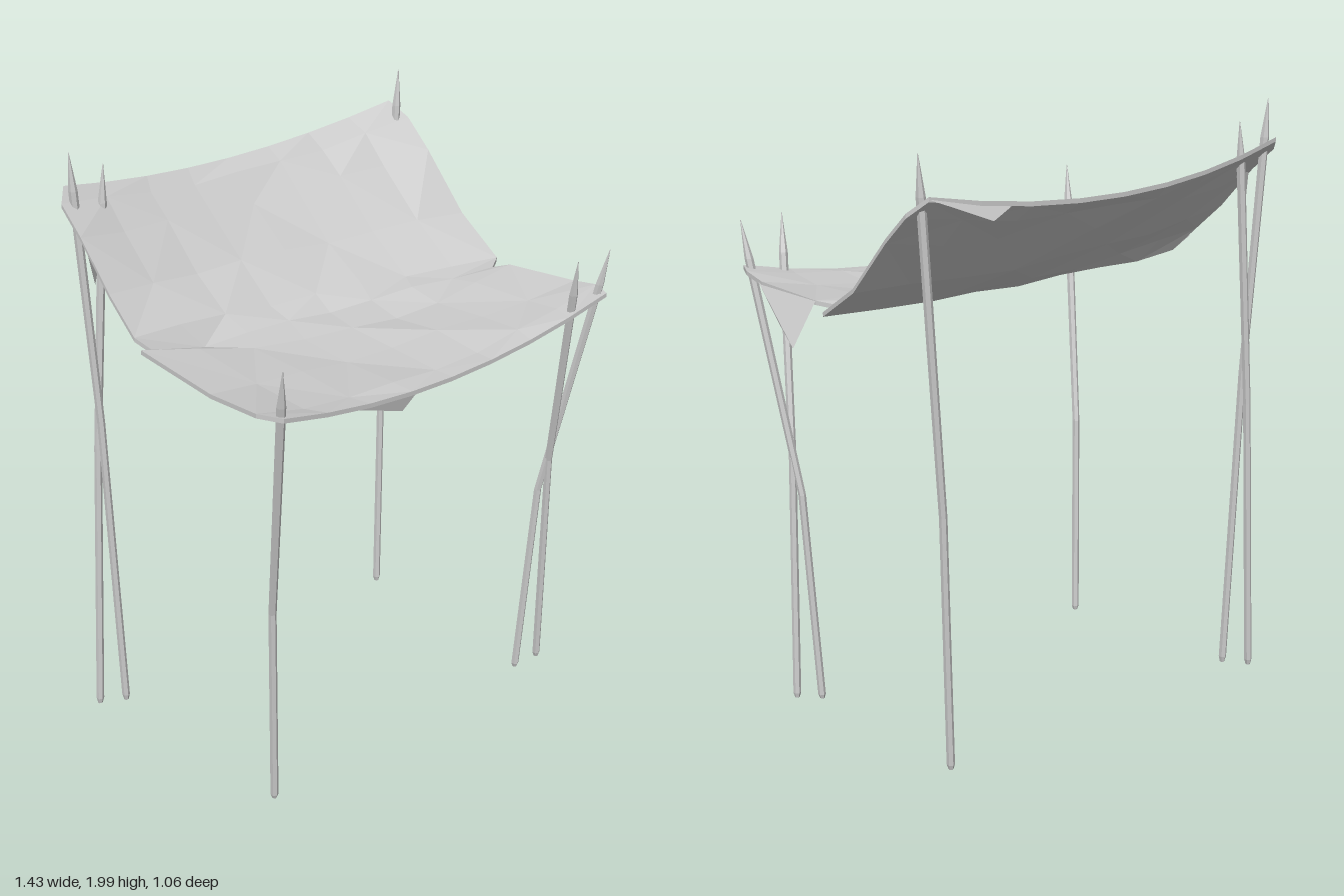
import * as THREE from 'three';

const material = new THREE.MeshStandardMaterial({ color: 0xcccccc, flatShading: true, side: THREE.DoubleSide });

function meshFrom(name, positions, indices) {
  const g = new THREE.BufferGeometry();
  g.setAttribute('position', new THREE.Float32BufferAttribute(positions, 3));
  g.setIndex(indices);
  g.computeVertexNormals();
  const mesh = new THREE.Mesh(g, material);
  mesh.name = name;
  return mesh;
}

// Cloth cross-sections, front to back: xLow, xHigh, then z and y at low edge, centre, high edge
const ROWS = [
  [-0.68, 0.645, 0.52, 0.505, 0.52, 1.475, 1.388, 1.475],
  [-0.72, 0.675, 0.45, 0.44, 0.45, 1.478, 1.392, 1.475],
  [-0.72, 0.675, 0.25, 0.25, 0.36, 1.465, 1.4, 1.46],
  [-0.72, 0.64, -0.075, 0.09, 0.11, 1.49, 1.41, 1.45],
  [-0.65, 0.6, -0.07, -0.03, 0.07, 1.45, 1.43, 1.44],   // crease between the two tears
  [-0.72, 0.672, -0.105, -0.1, 0.02, 1.52, 1.465, 1.44],
  [-0.72, 0.675, -0.22, -0.25, -0.15, 1.62, 1.565, 1.55],
  [-0.72, 0.675, -0.35, -0.4, -0.32, 1.76, 1.69, 1.73],
  [-0.72, 0.675, -0.44, -0.48, -0.42, 1.84, 1.765, 1.82],
  [-0.68, 0.64, -0.485, -0.53, -0.48, 1.875, 1.803, 1.872],
];
const COLS = 9, THICK = 0.014;

// Parabola through low edge (t=-1), centre (0) and high edge (1)
const bend = (lo, mid, hi, t) => mid + (hi - lo) / 2 * t + ((hi + lo) / 2 - mid) * t * t;

function makeCloth() {
  const pos = [], idx = [], count = ROWS.length * COLS;
  for (const drop of [0, THICK]) {
    ROWS.forEach(([x0, x1, za, zb, zc, ya, yb, yc], r) => {
      for (let c = 0; c < COLS; c++) {
        const t = (c / (COLS - 1)) * 2 - 1;
        const inner = r > 0 && r < ROWS.length - 1 && Math.abs(t) < 1;
        const wrinkle = inner ? 0.007 * Math.sin(r * 2.3 + c * 1.9) : 0;
        pos.push(x0 + (x1 - x0) * (t + 1) / 2, bend(ya, yb, yc, t) + wrinkle - drop, bend(za, zb, zc, t));
      }
    });
  }
  const id = (r, c) => r * COLS + c;
  for (let r = 0; r < ROWS.length - 1; r++) {
    for (let c = 0; c < COLS - 1; c++) {
      const a = id(r, c), b = id(r, c + 1), d = id(r + 1, c), e = id(r + 1, c + 1);
      const tris = (r + c) % 2 ? [a, b, e, a, e, d] : [a, b, d, b, e, d];
      idx.push(...tris, ...tris.map(i => i + count).reverse());
    }
  }
  // Rim joining upper and lower faces
  const rim = [], R = ROWS.length - 1, C = COLS - 1;
  for (let c = 0; c < C; c++) rim.push(id(0, c));
  for (let r = 0; r < R; r++) rim.push(id(r, C));
  for (let c = C; c > 0; c--) rim.push(id(R, c));
  for (let r = R; r > 0; r--) rim.push(id(r, 0));
  rim.forEach((p, i) => {
    const q = rim[(i + 1) % rim.length];
    idx.push(p + count, q + count, q, p + count, q, p);
  });
  return meshFrom('canopyCloth', pos, idx);
}

// Torn scraps hanging from the cloth edge
const FLAPS = {
  sideFlap: [0.675, 1.455, 0.38, 0.64, 1.448, 0.11, 0.715, 1.31, 0.125, 0.715, 1.37, 0.2],
  frontFlap: [-0.43, 1.415, 0.508, -0.21, 1.335, 0.495, -0.16, 1.385, 0.505],
  backFlap: [-0.71, 1.74, -0.345, -0.57, 1.76, -0.43, -0.66, 1.585, -0.38],
  rimFlap: [0.38, 1.815, -0.51, 0.64, 1.865, -0.48, 0.45, 1.785, -0.52],
};

// Bent hexagonal pole with a sharpened top
function makePole(name, base, knee, tip) {
  const [b, k, t] = [base, knee, tip].map(p => new THREE.Vector3(...p));
  const shoulder = t.clone().lerp(k, 0.12 / (t.y - k.y));
  const foot = b.clone().lerp(k, 0.02);
  const path = [t, shoulder, k, foot, b];
  const radii = [0.001, 0.014, 0.0125, 0.013, 0.008];
  const g = new THREE.CylinderGeometry(1, 1, 1, 6, path.length - 1);
  const p = g.attributes.position;
  for (let i = 0; i < p.count; i++) {
    const s = Math.round((0.5 - p.getY(i)) * (path.length - 1));
    p.setXYZ(i, path[s].x + p.getX(i) * radii[s], path[s].y, path[s].z + p.getZ(i) * radii[s]);
  }
  g.computeVertexNormals();
  const mesh = new THREE.Mesh(g, material);
  mesh.name = name;
  return mesh;
}

const POLES = [
  ['frontRightPole', [-0.56, 0.005, 0.3], [-0.59, 0.73, 0.345], [-0.685, 1.62, 0.525]],
  ['frontLeftPole', [0.55, 0.005, 0.3], [0.57, 0.73, 0.345], [0.648, 1.62, 0.52]],
  ['frontLeftBracePole', [0.632, 0.025, 0.325], [0.582, 0.85, 0.375], [0.495, 1.62, 0.525]],
  ['backRightPole', [-0.63, 0.05, -0.4], [-0.645, 1.1, -0.42], [-0.682, 1.99, -0.443]],
  ['backRightBracePole', [-0.7, 0.04, -0.455], [-0.645, 1.0, -0.447], [-0.565, 1.93, -0.44]],
  ['backLeftPole', [0.53, 0.05, -0.4], [0.562, 0.9, -0.42], [0.648, 1.985, -0.443]],
];

export function createModel() {
  const model = new THREE.Group();
  model.name = 'canopyShelter';
  model.add(makeCloth());
  for (const [name, pts] of Object.entries(FLAPS)) {
    model.add(meshFrom(name, pts, pts.length === 12 ? [0, 1, 2, 0, 2, 3] : [0, 1, 2]));
  }
  for (const pole of POLES) model.add(makePole(...pole));
  return model;
}
